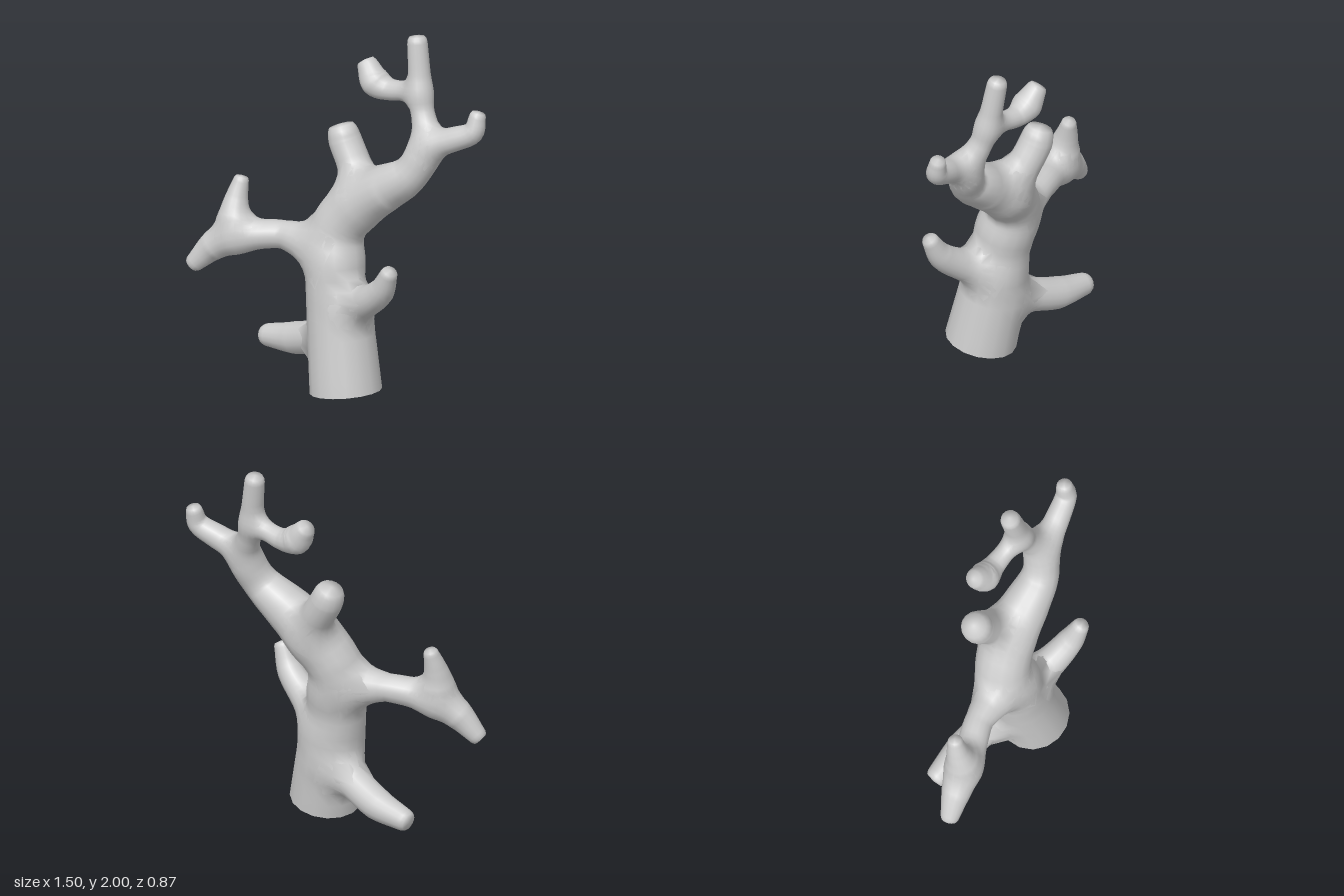
import * as THREE from 'three';

const SIDES = 16;
const STEPS = 5; // rings per path segment
const BLEND = 0.09; // how softly limbs flow into each other
const material = new THREE.MeshStandardMaterial({ color: 0xcccccc });

// Each limb is a path of [x, y, z, radius]
const LIMBS = {
  // Trunk bending up into the tallest branch
  trunk: [
    [0.035, 0.042, 0.137, 0.19], [0.012, 0.4, 0.067, 0.175], [-0.012, 0.65, 0.03, 0.152],
    [-0.003, 0.87, -0.025, 0.146], [0.1, 1.04, 0.01, 0.145], [0.23, 1.165, 0.1, 0.128],
    [0.355, 1.27, 0.185, 0.1], [0.43, 1.38, 0.195, 0.085], [0.45, 1.5, 0.165, 0.073],
    [0.438, 1.62, 0.108, 0.06], [0.43, 1.76, 0.072, 0.06], [0.42, 1.96, 0.036, 0.054],
  ],
  // Crown
  crownLeftBranch: [
    [0.43, 1.4, 0.2, 0.06], [0.5, 1.47, 0.245, 0.07], [0.585, 1.515, 0.29, 0.066],
    [0.682, 1.572, 0.338, 0.057], [0.704, 1.65, 0.332, 0.045],
  ],
  crownRightBranch: [
    [0.42, 1.69, 0.08, 0.04], [0.355, 1.678, 0.01, 0.05], [0.28, 1.662, -0.06, 0.058],
    [0.215, 1.685, -0.11, 0.08], [0.182, 1.755, -0.153, 0.057],
  ],
  // Stump on the back of the upper trunk
  backStump: [
    [0.13, 1.06, 0, 0.1], [0.11, 1.2, -0.08, 0.09],
    [0.062, 1.335, -0.15, 0.088], [0.053, 1.37, -0.16, 0.083],
  ],
  // Long forked side branch
  sideBranch: [
    [0, 0.74, 0.01, 0.12], [-0.14, 0.795, -0.08, 0.102], [-0.26, 0.815, -0.16, 0.075],
    [-0.4, 0.8, -0.21, 0.08], [-0.52, 0.775, -0.26, 0.09], [-0.61, 0.712, -0.298, 0.08],
    [-0.703, 0.607, -0.335, 0.052],
  ],
  sideBranchFork: [
    [-0.5, 0.78, -0.25, 0.07], [-0.51, 0.88, -0.265, 0.083],
    [-0.495, 0.98, -0.285, 0.06], [-0.472, 1.068, -0.297, 0.042],
  ],
  // Short twigs low on the trunk
  frontTwig: [
    [0.05, 0.49, 0.08, 0.1], [0.125, 0.58, 0.225, 0.085],
    [0.2, 0.685, 0.335, 0.07], [0.233, 0.8, 0.388, 0.047],
  ],
  backTwig: [
    [0, 0.3, 0, 0.1], [-0.08, 0.25, -0.105, 0.09],
    [-0.19, 0.185, -0.25, 0.086], [-0.313, 0.152, -0.375, 0.062],
  ],
};

// Smooth spine samples: centre, tangent and radius
function spine(path) {
  const curve = new THREE.CatmullRomCurve3(path.map(([x, y, z]) => new THREE.Vector3(x, y, z)));
  const segments = path.length - 1;
  const samples = [];
  for (let i = 0; i <= segments * STEPS; i++) {
    const k = Math.min(Math.floor(i / STEPS), segments - 1);
    samples.push({
      c: curve.getPoint(i / (segments * STEPS)),
      tangent: curve.getTangent(i / (segments * STEPS)),
      r: THREE.MathUtils.lerp(path[k][3], path[k + 1][3], i / STEPS - k),
    });
  }
  return samples;
}

const spines = Object.values(LIMBS).map(spine);

// Distance from p to one limb's surface
function limbDistance(p, samples) {
  let best = Infinity;
  for (let i = 0; i < samples.length - 1; i++) {
    const { c: a, r } = samples[i];
    const { c: b, r: r2 } = samples[i + 1];
    const dx = b.x - a.x, dy = b.y - a.y, dz = b.z - a.z;
    const along = (p.x - a.x) * dx + (p.y - a.y) * dy + (p.z - a.z) * dz;
    const t = THREE.MathUtils.clamp(along / (dx * dx + dy * dy + dz * dz), 0, 1);
    const d = Math.hypot(p.x - a.x - dx * t, p.y - a.y - dy * t, p.z - a.z - dz * t);
    best = Math.min(best, d - r - (r2 - r) * t);
  }
  return best;
}

// Distance to all limbs, softly joined
function treeDistance(p) {
  return spines.reduce((sum, samples) => {
    const d = limbDistance(p, samples);
    const h = Math.max(BLEND - Math.abs(sum - d), 0) / BLEND;
    return Math.min(sum, d) - h * h * BLEND * 0.25;
  }, 10);
}

function surfaceNormal(p) {
  const slope = (axis) => {
    const q = p.clone();
    q[axis] += 0.006;
    const high = treeDistance(q);
    q[axis] -= 0.012;
    return high - treeDistance(q);
  };
  return new THREE.Vector3(slope('x'), slope('y'), slope('z')).normalize();
}

function buildGeometry(positions, normals, index) {
  const geometry = new THREE.BufferGeometry();
  geometry.setAttribute('position', new THREE.Float32BufferAttribute(positions, 3));
  geometry.setAttribute('normal', new THREE.Float32BufferAttribute(normals, 3));
  geometry.setIndex(index);
  return geometry;
}

// Rings around a spine, each vertex pushed out to the blended surface
function limbGeometry(samples) {
  const end = samples[samples.length - 1];
  const beyond = (f) => ({ ...end, c: end.c.clone().addScaledVector(end.tangent, end.r * f) });
  const rings = [...samples, beyond(0.35), beyond(0.62)];
  const positions = [], normals = [], index = [];
  const frame = new THREE.Quaternion();
  const turn = new THREE.Quaternion();
  let previous = new THREE.Vector3(0, 0, 1);
  rings.forEach(({ c, tangent, r }) => {
    frame.premultiply(turn.setFromUnitVectors(previous, tangent));
    previous = tangent;
    for (let s = 0; s < SIDES; s++) {
      const a = (s / SIDES) * Math.PI * 2;
      const out = new THREE.Vector3(Math.cos(a), Math.sin(a), 0).applyQuaternion(frame);
      const p = new THREE.Vector3();
      let t = 0;
      for (let k = 0; k < 12; k++) {
        p.copy(c).addScaledVector(out, t);
        t = Math.min(t - treeDistance(p), r * 1.8);
      }
      p.copy(c).addScaledVector(out, t);
      positions.push(...p.toArray());
      normals.push(...surfaceNormal(p).toArray());
    }
  });
  for (let i = 0; i < rings.length - 1; i++) {
    for (let s = 0; s < SIDES; s++) {
      const a = i * SIDES + s;
      const b = i * SIDES + ((s + 1) % SIDES);
      index.push(a, b, a + SIDES, b, b + SIDES, a + SIDES);
    }
  }
  // Blunt tip
  const last = (rings.length - 1) * SIDES;
  positions.push(...beyond(0.74).c.toArray());
  normals.push(...end.tangent.toArray());
  for (let s = 0; s < SIDES; s++) index.push(last + SIDES, last + s, last + ((s + 1) % SIDES));
  return buildGeometry(positions, normals, index);
}

// Slightly hollowed cut closing the foot of the trunk, shaded softly into the bark
function cutGeometry(trunk, { c, tangent }) {
  const rim = (name) => Array.from(trunk.attributes[name].array.slice(0, SIDES * 3));
  const positions = [...rim('position'), ...c.clone().addScaledVector(tangent, 0.04).toArray()];
  const normals = [...rim('normal'), ...tangent.clone().negate().toArray()];
  const index = [];
  for (let s = 0; s < SIDES; s++) index.push(SIDES, (s + 1) % SIDES, s);
  return buildGeometry(positions, normals, index);
}

export function createModel() {
  const group = new THREE.Group();
  group.name = 'deadTree';
  const add = (name, geometry) => {
    const mesh = new THREE.Mesh(geometry, material);
    mesh.name = name;
    group.add(mesh);
    return geometry;
  };
  Object.keys(LIMBS).forEach((name, i) => {
    const geometry = add(name, limbGeometry(spines[i]));
    if (name === 'trunk') add('trunkCut', cutGeometry(geometry, spines[i][0]));
  });
  return group;
}
